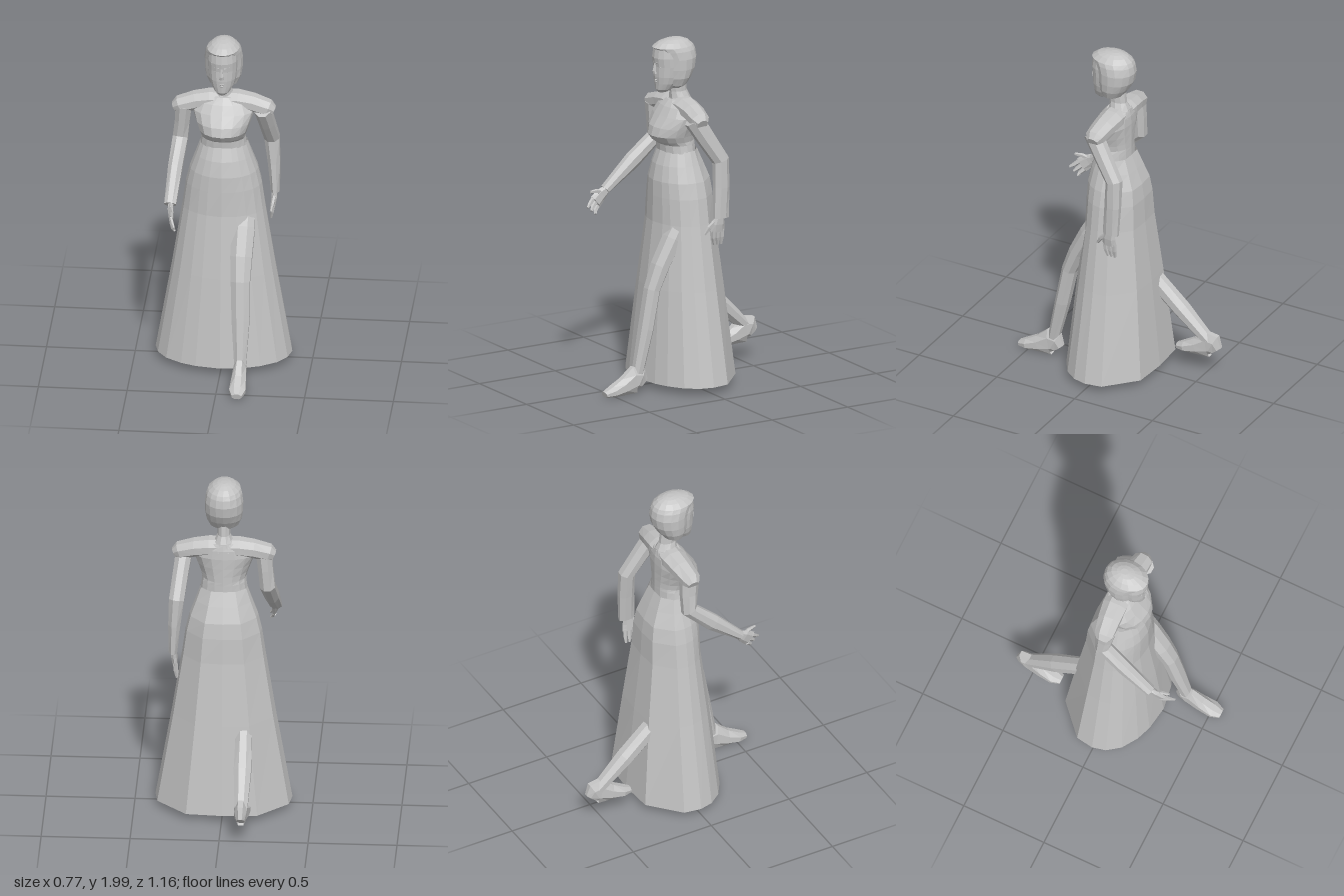
import * as THREE from 'three';

const clay = new THREE.MeshStandardMaterial({ color: 0xc4c4c4, side: THREE.DoubleSide });
clay.name = 'plain grey';

// Faceted skin over a stack of rings (arrays of Vector3), optionally capped.
function loft(name, rings, capStart = true, capEnd = true) {
  const pos = [], n = rings[0].length;
  const tri = (...p) => p.forEach(v => pos.push(v.x, v.y, v.z));
  for (let r = 0; r < rings.length - 1; r++) {
    for (let i = 0; i < n; i++) {
      const j = (i + 1) % n, a = rings[r], b = rings[r + 1];
      tri(a[i], a[j], b[j]);
      tri(a[i], b[j], b[i]);
    }
  }
  const cap = (ring, flip) => {
    const c = ring.reduce((s, v) => s.add(v), new THREE.Vector3()).divideScalar(n);
    for (let i = 0; i < n; i++) {
      const j = (i + 1) % n;
      flip ? tri(c, ring[j], ring[i]) : tri(c, ring[i], ring[j]);
    }
  };
  if (capStart) cap(rings[0], true);
  if (capEnd) cap(rings[rings.length - 1], false);
  const g = new THREE.BufferGeometry();
  g.setAttribute('position', new THREE.Float32BufferAttribute(pos, 3));
  g.computeVertexNormals();
  const mesh = new THREE.Mesh(g, clay);
  mesh.name = name;
  return mesh;
}

// Tapered limb; each section is [x, y, z, radius along ref, other radius].
function limb(name, sections, sides = 8, ref = new THREE.Vector3(1, 0, 0)) {
  const pts = sections.map(s => new THREE.Vector3(s[0], s[1], s[2]));
  const rings = sections.map((s, k) => {
    const dir = (a, b) => pts[b].clone().sub(pts[a]).normalize();
    const t = new THREE.Vector3();
    if (k > 0) t.add(dir(k - 1, k));
    if (k < pts.length - 1) t.add(dir(k, k + 1));
    t.normalize();
    const u = ref.clone().addScaledVector(t, -ref.dot(t)).normalize();
    const v = t.clone().cross(u);
    return Array.from({ length: sides }, (_, i) => {
      const a = (i + 0.5) / sides * Math.PI * 2;
      return pts[k].clone().addScaledVector(u, Math.cos(a) * s[3]).addScaledVector(v, Math.sin(a) * s[4]);
    });
  });
  return loft(name, rings);
}

// Level oval ring: height, half width, front z, back z.
function oval([y, rx, zF, zB], sides = 16) {
  return Array.from({ length: sides }, (_, i) => {
    const a = i / sides * Math.PI * 2;
    return new THREE.Vector3(rx * Math.cos(a), y, (zF + zB) / 2 - Math.sin(a) * (zF - zB) / 2);
  });
}

// Skirt outline for the left half, front to back, in unit size.
const HALF = [[0, 1], [0.36, 0.92], [0.58, 0.8], [0.81, 0.58], [0.95, 0.3], [1, 0], [0.96, -0.37], [0.52, -0.95], [0, -1]];
const OUTLINE = [...HALF, ...HALF.slice(1, -1).reverse().map(([x, z]) => [-x, z])];

function foot(name, x, y, z) {
  const f = limb(name, [
    [0, 0.050, 0.000, 0.025, 0.046], [0, 0.078, 0.022, 0.038, 0.080], [0, 0.080, 0.052, 0.038, 0.084],
    [0, 0.050, 0.120, 0.045, 0.054], [0, 0.030, 0.195, 0.050, 0.033], [0, 0.019, 0.245, 0.030, 0.018],
  ]);
  f.position.set(x, y, z);
  return f;
}

function hand(name, palm, fingers, thumb) {
  const g = new THREE.Group();
  g.name = name;
  g.add(limb('palm', palm, 6));
  fingers.forEach(p => g.add(limb('finger', p, 5)));
  g.add(limb('thumb', thumb, 5));
  return g;
}

export function createModel() {
  const model = new THREE.Group();
  model.name = 'striding woman in a long gown';

  // Gown: open skirt and bodice
  const skirt = [
    [0.045, 0.385, 0.26, 0.27], [0.58, 0.293, 0.21, 0.217], [0.95, 0.235, 0.167, 0.175], [1.1, 0.214, 0.165, 0.168],
    [1.19, 0.193, 0.163, 0.155], [1.28, 0.16, 0.145, 0.12], [1.36, 0.132, 0.115, 0.087],
  ].map(([y, rx, zF, zB]) => OUTLINE.map(([x, z]) => new THREE.Vector3(x * rx, y, z * (z > 0 ? zF : zB))));
  model.add(loft('skirt', skirt, false, false));
  model.add(loft('bodice', [
    [1.35, 0.132, 0.115, -0.087], [1.395, 0.125, 0.12, -0.086], [1.415, 0.125, 0.15, -0.086], [1.45, 0.137, 0.176, -0.086],
    [1.5, 0.155, 0.162, -0.086], [1.56, 0.175, 0.122, -0.086], [1.61, 0.15, 0.09, -0.083], [1.645, 0.08, 0.06, -0.075],
  ].map(r => oval(r))));

  // Shoulder yoke with cap sleeves
  const yoke = [[0.28, 1.555, 0.01, 0.035, 0.03], [0.25, 1.57, 0.01, 0.058, 0.05], [0.16, 1.598, 0, 0.068, 0.052], [0.08, 1.61, -0.005, 0.075, 0.055]];
  model.add(limb('shoulders', [
    ...yoke.map(([x, ...r]) => [-x, ...r]), ...yoke.slice().reverse(),
  ], 8, new THREE.Vector3(0, 0, 1)));

  // Neck
  model.add(loft('neck', [
    [1.6, 0.1, 0.07, -0.085], [1.65, 0.055, 0.05, -0.075], [1.69, 0.037, 0.052, -0.055], [1.78, 0.036, 0.07, -0.045],
  ].map(r => oval(r, 10))));

  // Head: face, close hair, features
  const head = new THREE.Group();
  head.name = 'head';
  head.add(loft('face', [
    [1.697, 0.022, 0.13, 0.07], [1.715, 0.045, 0.143, 0.04], [1.75, 0.065, 0.146, 0.01], [1.79, 0.077, 0.15, -0.01],
    [1.85, 0.084, 0.15, -0.02], [1.9, 0.085, 0.157, -0.02], [1.95, 0.08, 0.15, -0.02], [1.975, 0.05, 0.11, 0],
  ].map(r => oval(r))));
  head.add(loft('hair', [
    [1.715, 0.045, 0.06, -0.005], [1.735, 0.08, 0.085, -0.035], [1.78, 0.1, 0.105, -0.068], [1.83, 0.107, 0.115, -0.095],
    [1.89, 0.108, 0.122, -0.106], [1.935, 0.101, 0.14, -0.099], [1.958, 0.092, 0.158, -0.088], [1.982, 0.066, 0.125, -0.062],
    [1.995, 0.04, 0.08, -0.03], [2, 0.018, 0.04, -0.005],
  ].map(r => oval(r))));
  head.add(limb('nose', [[0, 1.87, 0.149, 0.006, 0.006], [0, 1.825, 0.156, 0.011, 0.011], [0, 1.808, 0.152, 0.015, 0.01]], 6));
  for (const [name, y, z, h] of [['upperLip', 1.772, 0.145, 0.005], ['lowerLip', 1.761, 0.144, 0.006]]) {
    head.add(limb(name, [[-0.026, y, z - 0.01, 0.002, 0.002], [0, y, z + 0.003, h, 0.006], [0.026, y, z - 0.01, 0.002, 0.002]], 6, new THREE.Vector3(0, 1, 0)));
  }
  for (const s of [-1, 1]) {
    head.add(limb('eyelid', [[s * 0.016, 1.846, 0.143, 0.003, 0.004], [s * 0.034, 1.849, 0.137, 0.009, 0.006], [s * 0.054, 1.847, 0.12, 0.003, 0.004]], 6, new THREE.Vector3(0, 1, 0)));
    head.add(limb('brow', [[s * 0.014, 1.873, 0.15, 0.004, 0.004], [s * 0.04, 1.879, 0.137, 0.004, 0.005], [s * 0.062, 1.87, 0.114, 0.003, 0.004]], 5, new THREE.Vector3(0, 1, 0)));
  }
  model.add(head);

  // Right arm, bent and reaching forward
  model.add(limb('rightArm', [
    [-0.225, 1.575, 0.012, 0.05, 0.06], [-0.234, 1.47, 0.004, 0.045, 0.053], [-0.245, 1.365, 0.0, 0.046, 0.048],
    [-0.262, 1.235, 0.14, 0.043, 0.05], [-0.275, 1.09, 0.31, 0.036, 0.027],
  ]));
  model.add(hand('rightHand',
    [[-0.272, 1.1, 0.29, 0.018, 0.022], [-0.27, 1.065, 0.34, 0.017, 0.04], [-0.262, 1.03, 0.38, 0.014, 0.045]],
    [0, 1, 2].map(i => [[-0.264, 1.05 - i * 0.022, 0.395 - i * 0.015, 0.011, 0.015], [-0.252, 1.025 - i * 0.022, 0.425 - i * 0.018, 0.01, 0.012], [-0.24, 1.01 - i * 0.022, 0.447 - i * 0.026, 0.006, 0.007]]),
    [[-0.268, 1.075, 0.33, 0.01, 0.014], [-0.262, 1.092, 0.375, 0.011, 0.013], [-0.252, 1.095, 0.42, 0.006, 0.008]]));

  // Left arm, swung back
  model.add(limb('leftArm', [
    [0.222, 1.575, 0.035, 0.05, 0.058], [0.24, 1.46, -0.035, 0.047, 0.054], [0.26, 1.325, -0.12, 0.046, 0.05],
    [0.272, 1.17, -0.118, 0.037, 0.05], [0.28, 0.995, -0.11, 0.026, 0.05],
  ]));
  model.add(hand('leftHand',
    [[0.278, 1.02, -0.105, 0.017, 0.026], [0.275, 0.96, -0.095, 0.018, 0.042], [0.27, 0.915, -0.095, 0.015, 0.045]],
    [0, 1, 2].map(i => [[0.27, 0.925, -0.066 - i * 0.028, 0.012, 0.016], [0.266, 0.88, -0.07 - i * 0.027, 0.011, 0.014], [0.258, 0.837, -0.08 - i * 0.022, 0.007, 0.008]]),
    [[0.275, 0.975, -0.075, 0.011, 0.015], [0.27, 0.945, -0.04, 0.011, 0.014], [0.262, 0.905, -0.015, 0.006, 0.008]]));

  // Left leg, stepping out through the front of the skirt
  model.add(limb('leftLeg', [
    [0.125, 1.0, 0.04, 0.06, 0.05], [0.12, 0.87, 0.112, 0.07, 0.055], [0.115, 0.72, 0.19, 0.066, 0.052],
    [0.115, 0.59, 0.243, 0.058, 0.045], [0.12, 0.37, 0.287, 0.054, 0.043], [0.123, 0.12, 0.343, 0.036, 0.034],
  ]));
  model.add(foot('leftFoot', 0.122, 0.005, 0.315));

  // Right leg, trailing out of the back of the skirt
  model.add(limb('rightLeg', [
    [-0.12, 0.58, -0.1, 0.05, 0.06], [-0.122, 0.475, -0.225, 0.05, 0.055], [-0.123, 0.37, -0.345, 0.053, 0.052],
    [-0.124, 0.21, -0.52, 0.038, 0.036],
  ]));
  model.add(foot('rightFoot', -0.123, 0.113, -0.562));

  return model;
}
